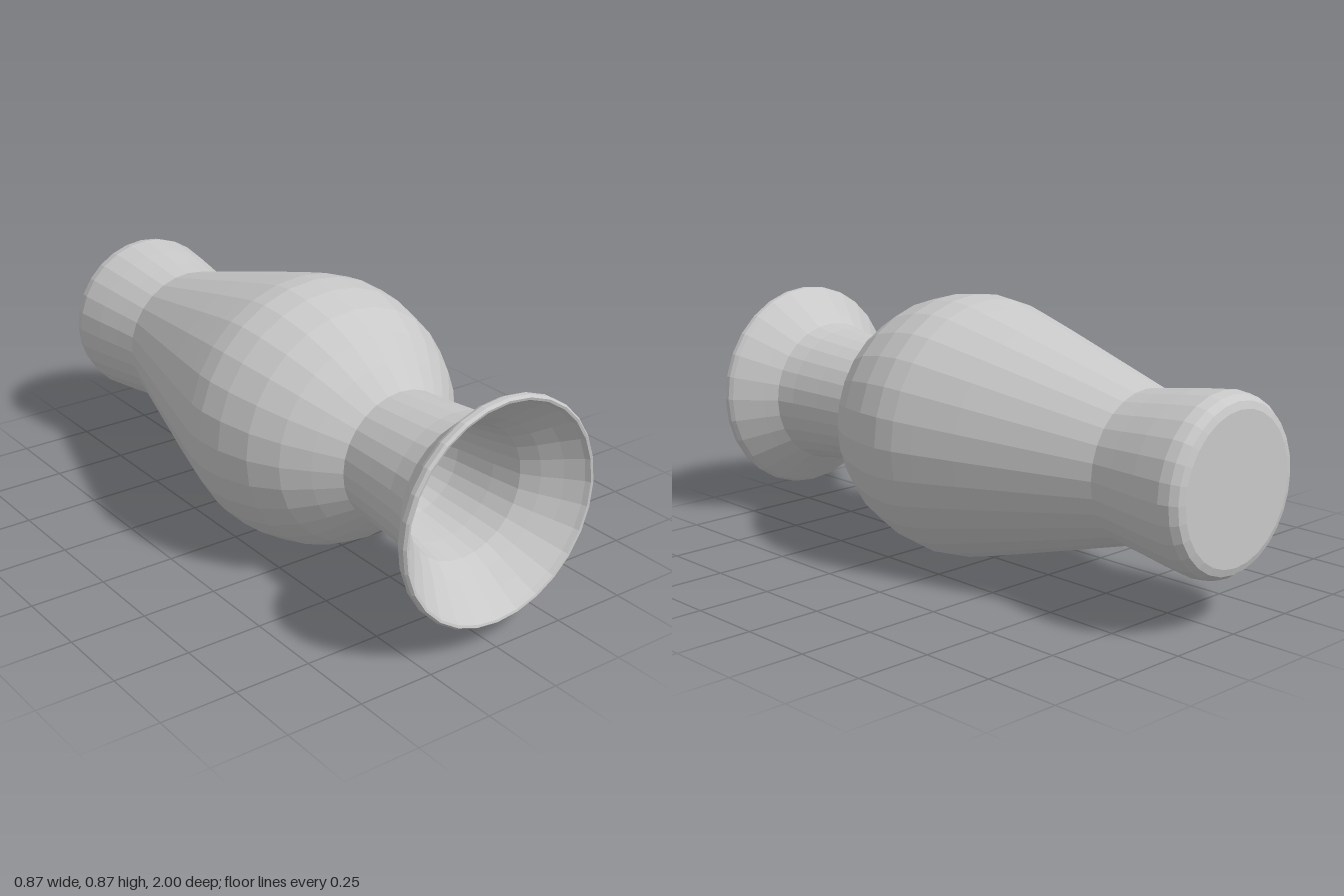
import * as THREE from 'three';

const SIDES = 28;
const AXIS_HEIGHT = 0.437;

export function createModel() {
  const group = new THREE.Group();
  group.name = 'lyingVase';
  const grey = new THREE.MeshStandardMaterial({ color: 0xc8c8c8, flatShading: true });
  grey.name = 'clayGrey';

  // Turns a profile of [radius, z] points around the horizontal axis
  const turn = (name, profile) => {
    const points = profile.map(([r, z]) => new THREE.Vector2(r, z));
    const geometry = new THREE.LatheGeometry(points, SIDES);
    geometry.rotateX(Math.PI / 2);
    const mesh = new THREE.Mesh(geometry, grey);
    mesh.name = name;
    mesh.position.y = AXIS_HEIGHT;
    group.add(mesh);
  };

  // Flared foot with a flat closed end and a rounded edge
  turn('foot', [
    [0, -1], [0.235, -1], [0.258, -0.992], [0.274, -0.97], [0.281, -0.935],
    [0.268, -0.83], [0.252, -0.73], [0.241, -0.65],
  ]);

  // Pear-shaped belly, widest just in front of the middle
  turn('belly', [
    [0.241, -0.65], [0.284, -0.5], [0.327, -0.35], [0.37, -0.2], [0.411, -0.05],
    [0.429, 0.02], [0.437, 0.09], [0.428, 0.18], [0.398, 0.29], [0.345, 0.385],
    [0.28, 0.46], [0.213, 0.53],
  ]);

  // Narrow neck opening into a trumpet lip
  turn('neck', [
    [0.213, 0.53], [0.222, 0.65], [0.233, 0.77], [0.245, 0.84],
    [0.28, 0.88], [0.325, 0.93], [0.352, 0.96],
  ]);
  turn('lip', [
    [0.352, 0.96], [0.36, 0.975], [0.36, 0.992], [0.353, 1], [0.345, 0.998], [0.337, 0.982],
  ]);

  // Hollow: flared mouth, steep throat and a small flat floor
  turn('hollow', [
    [0.337, 0.982], [0.298, 0.935], [0.252, 0.885], [0.215, 0.835],
    [0.195, 0.74], [0.175, 0.6], [0.14, 0.48], [0.115, 0.445], [0, 0.435],
  ]);

  return group;
}
